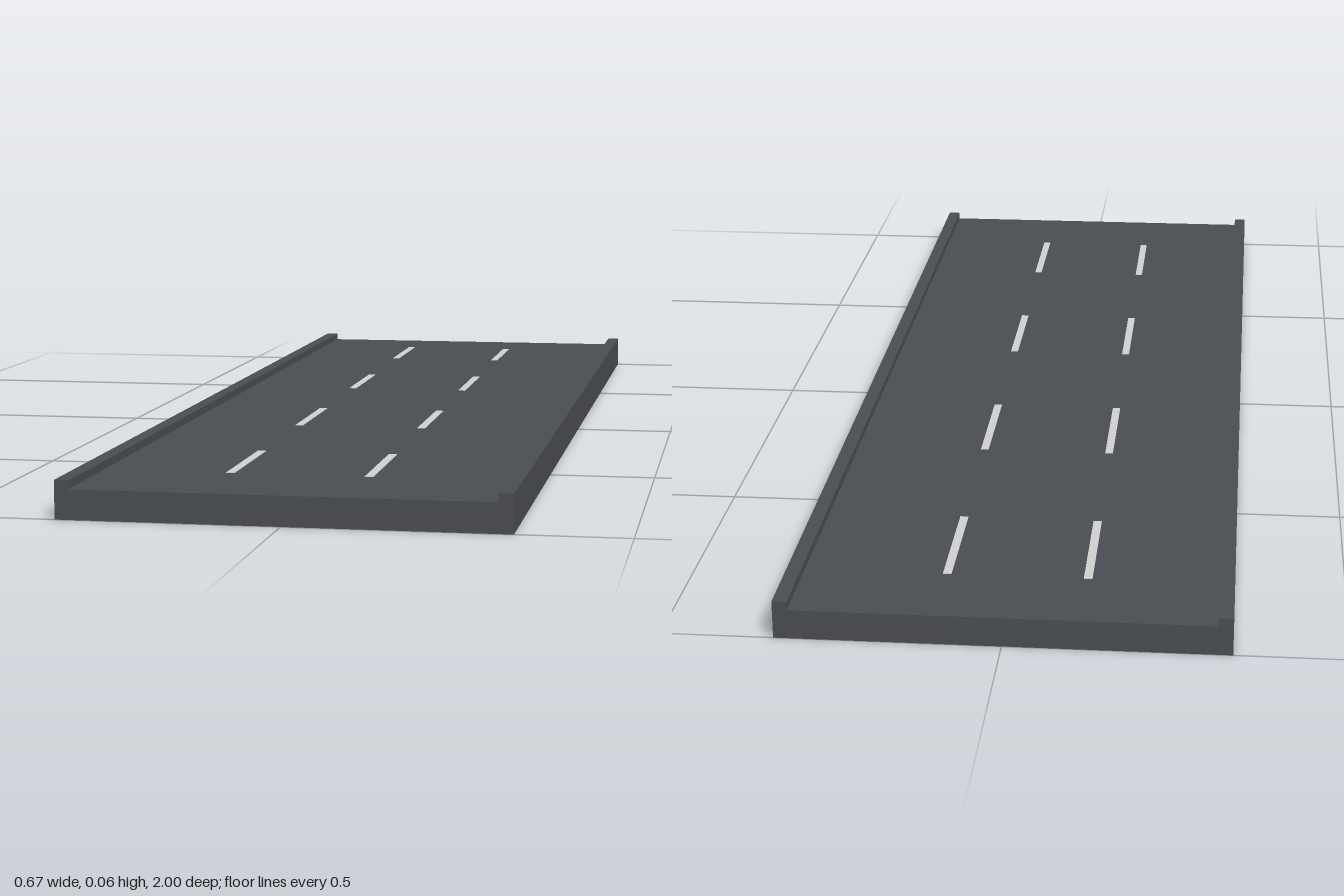
import * as THREE from 'three';

export function createModel() {
  const group = new THREE.Group();
  const asphalt = new THREE.MeshStandardMaterial({ color: 0x4a4d52 });
  asphalt.name = 'asphalt grey';
  const paint = new THREE.MeshStandardMaterial({ color: 0xd0d0d0 });
  paint.name = 'lane marking white';

  const halfWidth = 0.333, kerbInner = 0.311, roadTop = 0.045, kerbTop = 0.058;

  // Road deck with raised kerbs: one cross-section extruded along z
  const profile = new THREE.Shape([
    [-halfWidth, 0], [halfWidth, 0], [halfWidth, kerbTop], [kerbInner, kerbTop],
    [kerbInner, roadTop], [-kerbInner, roadTop], [-kerbInner, kerbTop], [-halfWidth, kerbTop],
  ].map(([x, y]) => new THREE.Vector2(x, y)));
  const deckGeometry = new THREE.ExtrudeGeometry(profile, { depth: 2, bevelEnabled: false });
  deckGeometry.translate(0, 0, -1);
  const deck = new THREE.Mesh(deckGeometry, asphalt);
  deck.name = 'roadDeckWithKerbs';
  group.add(deck);

  // Dashed lane markings: two rows of four thin plates
  const dashGeometry = new THREE.BoxGeometry(0.013, 0.001, 0.21);
  const markings = new THREE.Group();
  markings.name = 'laneMarkings';
  for (const x of [-0.115, 0.096]) {
    for (let i = 0; i < 4; i++) {
      const dash = new THREE.Mesh(dashGeometry, paint);
      dash.name = 'laneDash';
      dash.position.set(x, roadTop + 0.0005, -0.755 + i * 0.492);
      markings.add(dash);
    }
  }
  group.add(markings);

  return group;
}
